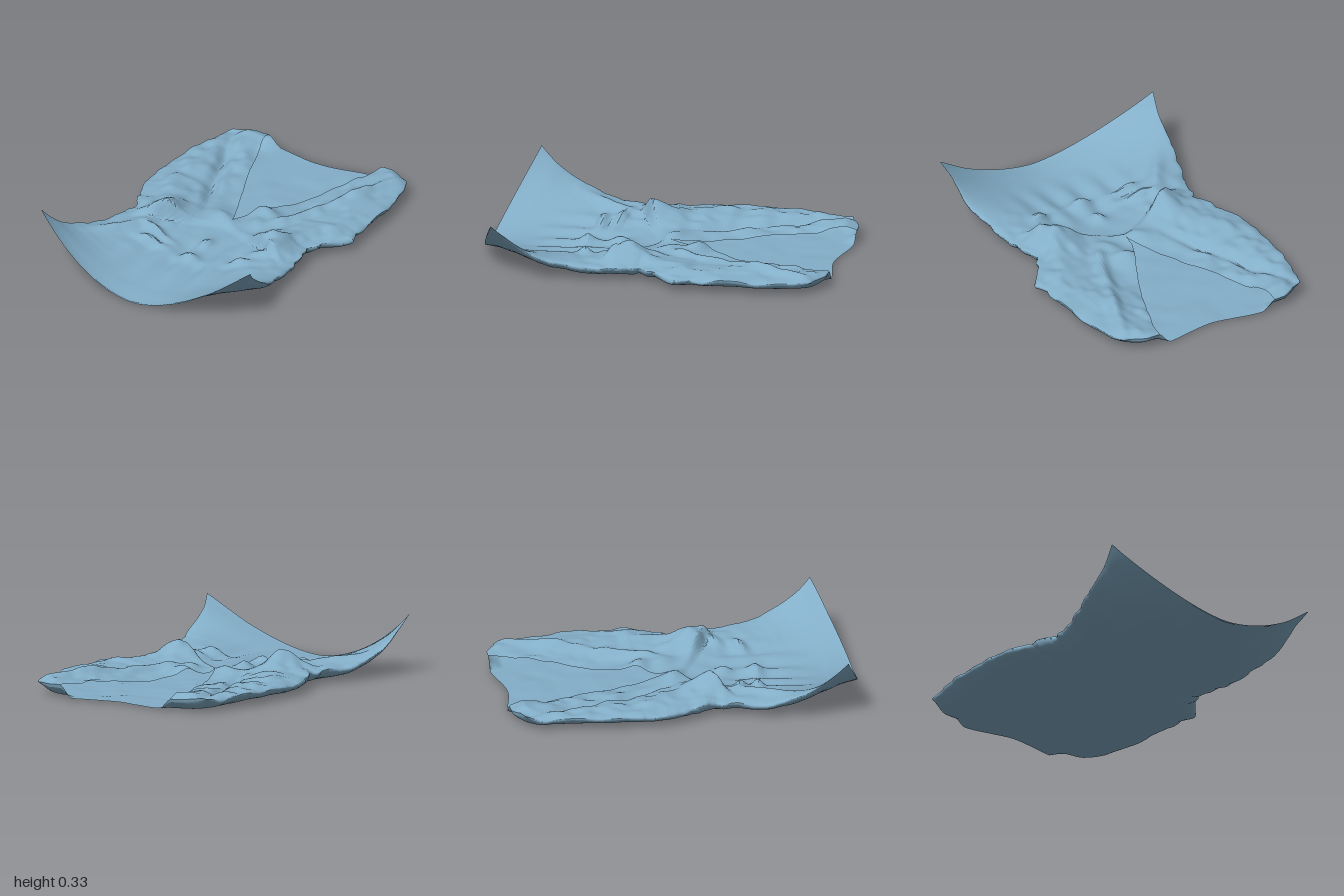
import * as THREE from 'three';

const clamp = THREE.MathUtils.clamp, lerp = THREE.MathUtils.lerp, smooth = THREE.MathUtils.smoothstep;

// seeded value noise for the crumpled cloth
const hash = (i, j) => { const h = Math.sin(i * 127.1 + j * 311.7) * 43758.5453; return (h - Math.floor(h)) * 2 - 1; };
function noise(x, z) {
  const i = Math.floor(x), j = Math.floor(z), a = smooth(x - i, 0, 1), b = smooth(z - j, 0, 1);
  return lerp(lerp(hash(i, j), hash(i + 1, j), a), lerp(hash(i, j + 1), hash(i + 1, j + 1), a), b);
}

// side outlines as [z, x], shoulder to hem
const leftSide = [[-1, 0.57], [-0.9, 0.61], [-0.75, 0.635], [-0.6, 0.66], [-0.4, 0.665], [-0.25, 0.67], [-0.16, 0.695],
  [-0.05, 0.625], [0.1, 0.53], [0.2, 0.555], [0.35, 0.59], [0.6, 0.61], [0.75, 0.645], [0.92, 0.65], [1, 0.68]];
const rightSide = [[-1, 0.57], [-0.9, 0.615], [-0.6, 0.655], [-0.4, 0.665], [-0.2, 0.675], [-0.05, 0.635], [0.1, 0.575],
  [0.2, 0.55], [0.35, 0.565], [0.5, 0.62], [0.72, 0.67], [0.9, 0.68], [1, 0.7]];
function sample(table, z) {
  let k = 1;
  while (k < table.length - 1 && table[k][0] < z) k++;
  const [p, q] = [table[k - 1], table[k]];
  return lerp(p[1], q[1], clamp((z - p[0]) / (q[0] - p[0]), 0, 1));
}

// gathered lumps: x, z, height, long radius, short radius, turn
const lumps = [
  [-0.25, -0.12, 0.02, 0.14, 0.07, 0.9], [-0.3, -0.38, 0.02, 0.1, 0.05, 0.8],
  [0.1, -0.2, 0.045, 0.12, 0.06, 0.3], [0.14, -0.06, 0.03, 0.08, 0.05, 1.1],
  [-0.06, -0.03, 0.03, 0.08, 0.05, 0.6], [0.01, 0.27, 0.03, 0.035, 0.05, 0],
  [-0.27, 0.32, 0.035, 0.1, 0.03, 0.25], [-0.25, 0.42, 0.04, 0.08, 0.03, 0],
  [0.01, 0.45, 0.03, 0.07, 0.035, 0], [0.31, 0.4, 0.04, 0.07, 0.035, -0.4],
  [0.38, 0.26, 0.03, 0.08, 0.035, -0.7], [-0.46, 0.42, 0.03, 0.18, 0.045, -1.0],
  [-0.47, 0.1, 0.02, 0.12, 0.05, 0.8],
];
function lumpHeight(x, z) {
  let y = 0;
  for (const [cx, cz, h, a, b, t] of lumps) {
    const dx = x - cx, dz = z - cz;
    const p = (dx * Math.cos(t) + dz * Math.sin(t)) / a, q = (dz * Math.cos(t) - dx * Math.sin(t)) / b;
    y += h * Math.exp(-p * p - q * q);
  }
  return y;
}

// s runs from -1 to 1 across the garment, v from 0 at the shoulders to 1 at the hem
function clothPoint(s, v, front) {
  const n = -1 + 2 * v, a = Math.abs(s);
  const waist = smooth(n, -0.15, 0.05) * (1 - smooth(n, 0.3, 0.5));
  const ripple = (0.006 + 0.012 * waist) * noise(n * 24, s < 0 ? 3 : 8) * (1 - smooth(n, 0.7, 0.9));
  const x = s * (sample(s < 0 ? rightSide : leftSide, n) + ripple);
  const topEdge = -0.95 - 0.05 * smooth(a, 0, 0.6) + 0.06 * smooth(a, 0.75, 1);
  const z = lerp(topEdge, 1 - 0.14 * s * s, v);

  // hem corners curl upward, the back panel more abruptly than the front
  const lift = (s < 0 ? 0.32 : 0.3) * a ** 1.75, rise = clamp((n - 0.2) / 0.8, 0, 1);
  const curl = lift * rise ** 2.1, backCurl = lift * rise ** 3;
  const loft = lerp(1, 0.1, smooth(n, 0.25, 1));
  const bottom = 0.009 + backCurl + 0.012 * a ** 4 + 0.005 * noise(x * 9, z * 9)
    + 0.012 * waist * a ** 3 * noise(x * 20, z * 20);
  const mid = 0.012 + (curl + backCurl) / 2 + (0.06 + 0.018 * noise(s * 3, n * 9)) * loft;
  let edge = Math.sqrt(Math.max(0, 1 - a ** 9));
  const shoulder = Math.sqrt(clamp(v / 0.04, 0, 1));
  if (!front) return [x, lerp(mid, bottom, edge * lerp(1, shoulder, smooth(a, 0.52, 0.66))), z];

  edge *= shoulder;
  let h = 0.035 + 0.052 * smooth(a, 0.15, 0.85);
  // lapel fold running from each shoulder to the waist
  const d = Math.abs(x) - (0.57 - 0.4 * (z + 0.95));
  const bodice = 1 - smooth(n, -0.2, 0.05);
  h += bodice * (x > 0 ? 0.03 : -0.03) * Math.exp(-((d / 0.04) ** 2));
  // bodice puffs and laps over the skirt along a slanting waist seam
  const lap = 1 - smooth(z - 0.02 - 0.5 * Math.abs(x + 0.02), -0.025, 0.03);
  const [puffX, puffWidth, puffHeight] = x < 0 ? [-0.32, 0.09, 0.085] : [0.35, 0.1, 0.065];
  const puff = puffHeight * Math.exp(-(((x - puffX) / puffWidth) ** 2) - ((z - 0.15) / 0.13) ** 2);
  h += lap * (0.018 * smooth(n, -0.4, -0.05) * (1 - smooth(a, 0.75, 0.95)) + puff);
  // pleats fall from the waist
  const pleat = smooth(n, 0.15, 0.4) * (1 - smooth(n, 0.5, 0.85)) * (1 - smooth(a, 0.3, 0.75));
  const pleatHeight = 0.01 * pleat * Math.cos((x - 0.02) * 44 / (1 + 0.3 * n));
  const crumple = 1 - smooth(n, 0.35, 0.7);
  h += crumple * (0.01 * noise(x * 9 + 5, z * 9) + 0.01 * noise(x * 19, z * 15 + 4) * smooth(a, 0.2, 0.6));
  h = Math.max(h * loft + pleatHeight + lumpHeight(x, z), 0.008) * (1 - 0.9 * smooth(n, 0.85, 1));
  return [x, lerp(mid, 0.012 + curl + h, edge), z];
}

// grid of quads; u goes toward +x and v toward +z, slant picks the quad diagonal
function sheet(name, material, nu, nv, point, faceUp, slant) {
  const pos = [], index = [];
  for (let j = 0; j <= nv; j++)
    for (let i = 0; i <= nu; i++) pos.push(...point(i / nu, (j / nv) ** 1.2));
  for (let j = 0; j < nv; j++)
    for (let i = 0; i < nu; i++) {
      const a = j * (nu + 1) + i, b = a + 1, c = a + nu + 1, d = c + 1;
      const quad = slant ? [a, c, d, a, d, b] : [a, c, b, b, c, d];
      index.push(...(faceUp ? quad : quad.reverse()));
    }
  const geometry = new THREE.BufferGeometry();
  geometry.setAttribute('position', new THREE.Float32BufferAttribute(pos, 3));
  geometry.setIndex(index);
  geometry.computeVertexNormals();
  const mesh = new THREE.Mesh(geometry, material);
  mesh.name = name;
  return mesh;
}

export function createModel() {
  const group = new THREE.Group();
  group.name = 'vNeckGarment';
  const cloth = new THREE.MeshStandardMaterial({ color: 0x83aec8, side: THREE.DoubleSide, flatShading: true });

  // full back panel lying on the ground
  const back = (u, v) => clothPoint(Math.sin((u - 0.5) * Math.PI), v, false);
  group.add(sheet('backPanel', cloth, 80, 110, back, false, false));

  // two front halves, cut away along the V neckline and meeting below it
  for (const side of [-1, 1]) {
    const tip = side > 0 ? 0.88 : 0.94;
    const point = (u, v) => {
      const inner = 0.65 * clamp((tip - 2 * v) / tip, 0, 1);
      const t = Math.sin((side > 0 ? u : 1 - u) * Math.PI / 2);
      return clothPoint(side * lerp(inner, 1, t), v, true);
    };
    group.add(sheet(side > 0 ? 'leftFront' : 'rightFront', cloth, 52, 130, point, true, side > 0));
  }
  return group;
}
